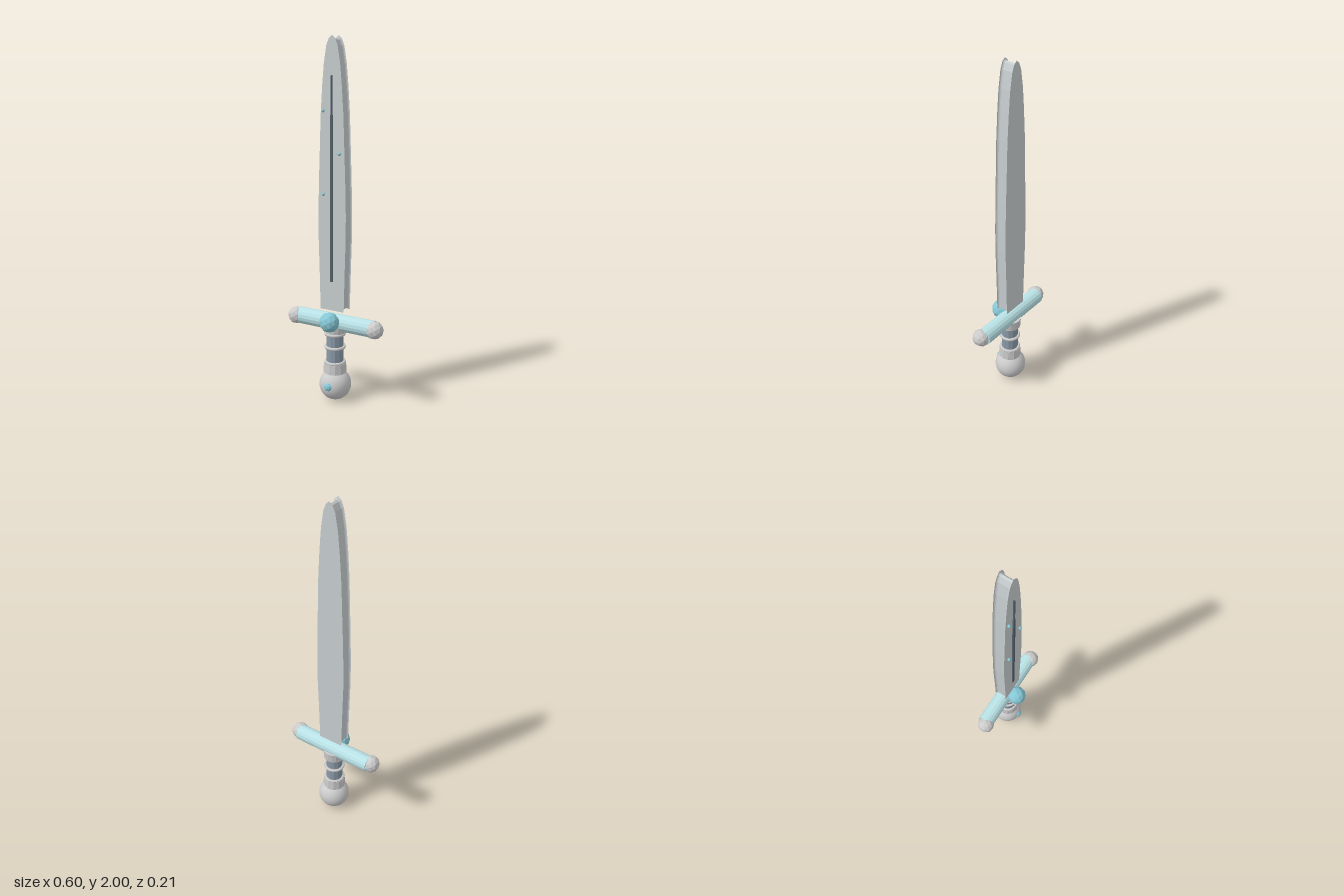
import * as THREE from 'three';

const mat = (color, flatShading = false) => {
  const m = new THREE.MeshStandardMaterial({ color });
  m.flatShading = flatShading;
  return m;
};

export function createModel() {
  const group = new THREE.Group();
  const AXIS_Z = -0.017; // grip, guard and pommel share this depth

  const steel = mat(0xc8ced0, true);
  const silver = mat(0xd8d8d8);
  const silverFlat = mat(0xd0d0d0, true);
  const paleTeal = mat(0xb9e2e6, true);
  const gemTeal = mat(0x86c8d6, true);
  const gripBlue = mat(0x8b9aa8, true);
  const dark = mat(0x56616c, true);

  const add = (name, geometry, material, x, y, z) => {
    const mesh = new THREE.Mesh(geometry, material);
    mesh.name = name;
    mesh.position.set(x, y, z);
    group.add(mesh);
    return mesh;
  };
  const faceted = (r) => new THREE.IcosahedronGeometry(r, 1);

  // Blade: leaf outline with hollowed edges (inward bevel)
  const half = [
    [0.073, 0.535], [0.078, 0.75], [0.084, 0.95], [0.084, 1.08], [0.08, 1.25], [0.074, 1.42],
    [0.068, 1.6], [0.058, 1.75], [0.048, 1.86], [0.033, 1.95], [0.018, 1.985],
  ];
  const outline = [
    ...half.map(([x, y]) => new THREE.Vector2(x, y)),
    new THREE.Vector2(0, 2),
    ...half.slice().reverse().map(([x, y]) => new THREE.Vector2(-x, y)),
  ];
  const bladeGeometry = new THREE.ExtrudeGeometry(new THREE.Shape(outline), {
    depth: 0.046, bevelEnabled: true, bevelThickness: 0.012, bevelSize: -0.011, bevelSegments: 3,
  });
  add('blade', bladeGeometry, steel, 0, 0, -0.038);

  // Fuller: wide lower strip and a narrow strip towards the tip
  add('fullerLower', new THREE.BoxGeometry(0.015, 0.9, 0.012), dark, 0, 1.15, 0.022);
  add('fullerUpper', new THREE.BoxGeometry(0.007, 0.2, 0.012), dark, 0, 1.7, 0.022);

  // Small studs on the blade
  for (const [x, y] of [[-0.049, 1.62], [0.049, 1.4], [-0.049, 1.18]]) {
    add('bladeStud', faceted(0.009), gemTeal, x, y, 0.029);
  }

  // Crossguard with a faceted ball at each end
  const guard = add('crossguard', new THREE.CylinderGeometry(0.047, 0.047, 0.48, 16), paleTeal, 0, 0.458, AXIS_Z);
  guard.rotation.z = Math.PI / 2;
  for (const side of [-1, 1]) {
    add(side > 0 ? 'guardBallLeft' : 'guardBallRight', faceted(0.05), silverFlat, side * 0.248, 0.458, -0.008);
  }
  add('guardGem', faceted(0.056), gemTeal, 0, 0.475, 0.05);

  // Grip with collars and binding rings
  add('grip', new THREE.CylinderGeometry(0.048, 0.048, 0.24, 12), gripBlue, 0, 0.29, AXIS_Z + 0.005);
  add('upperCollar', new THREE.CylinderGeometry(0.062, 0.058, 0.058, 16), silverFlat, 0, 0.42, AXIS_Z);
  add('lowerCollar', new THREE.CylinderGeometry(0.062, 0.066, 0.055, 12), silverFlat, 0, 0.193, AXIS_Z + 0.004);
  for (const y of [0.225, 0.315, 0.393]) {
    const ring = add('gripRing', new THREE.TorusGeometry(0.052, 0.009, 8, 24), silver, 0, y, AXIS_Z + 0.004);
    ring.rotation.x = Math.PI / 2;
  }

  // Pommel with an inset gem
  add('pommel', new THREE.SphereGeometry(0.09, 32, 20), silver, 0, 0.09, AXIS_Z);
  add('pommelGem', faceted(0.028), gemTeal, 0, 0.098, 0.056);

  return group;
}
